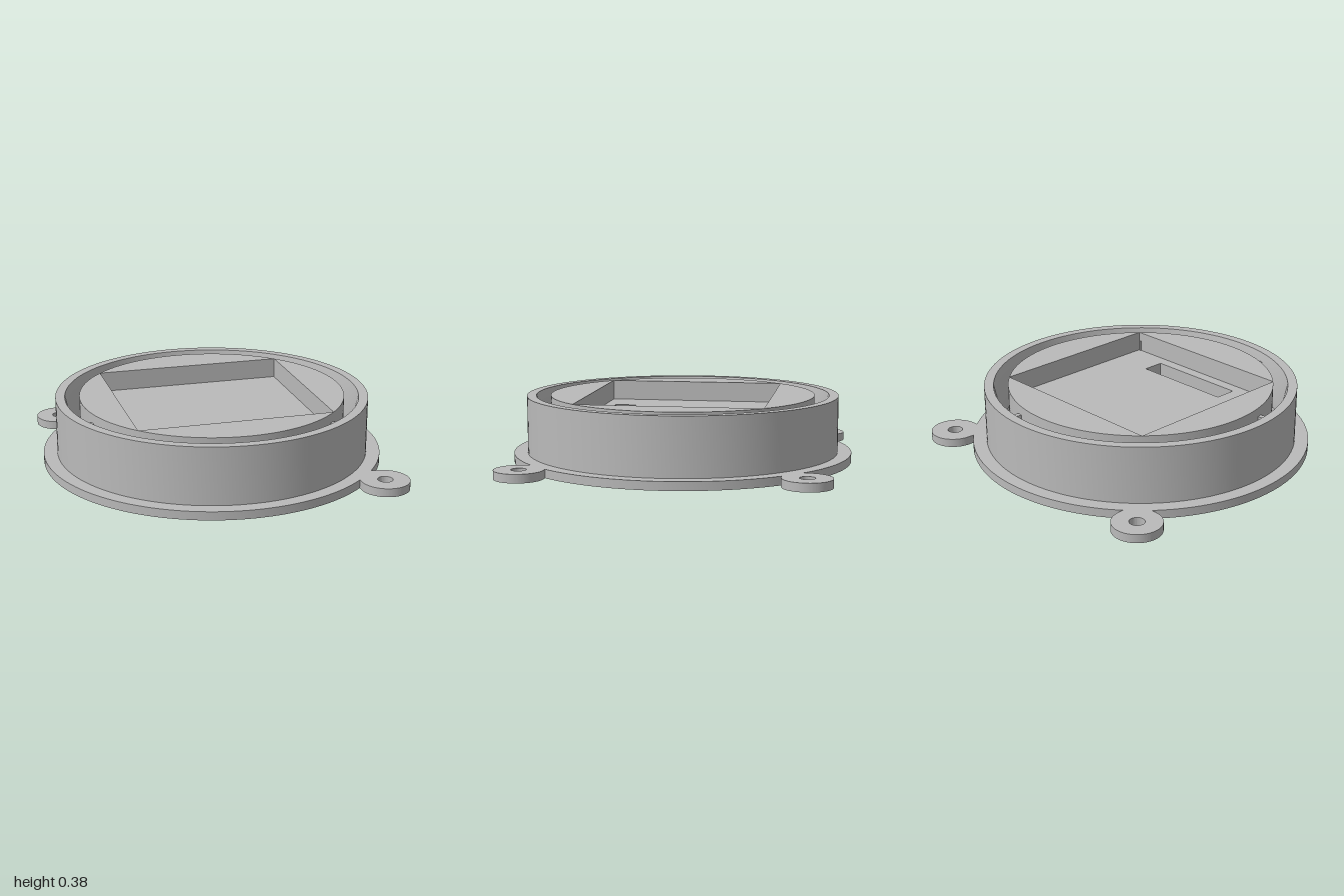
import * as THREE from 'three';
import { toCreasedNormals } from 'three/addons/utils/BufferGeometryUtils.js';

const grey = new THREE.MeshStandardMaterial({ color: 0xbababa, side: THREE.DoubleSide });
grey.name = 'plain grey';
const SEG = 128;
const H = 0.385, FLOOR = 0.265, PLUG_R = 0.78, FOOT_R = 0.66;

export function createModel() {
  const model = new THREE.Group();
  const add = (name, geometry, parent = model) => {
    const mesh = new THREE.Mesh(toCreasedNormals(geometry, 0.5), grey);
    mesh.name = name;
    parent.add(mesh);
    return mesh;
  };
  const lathe = (pts) => new THREE.LatheGeometry(pts.map(([r, y]) => new THREE.Vector2(r, y)), SEG);
  // Plan shapes use y = -z; they are laid flat and raised to height y
  const flat = (geometry, y) => geometry.rotateX(-Math.PI / 2).translate(0, y, 0);
  const slab = (shape, y, depth) =>
    flat(new THREE.ExtrudeGeometry(shape, { depth, bevelEnabled: false, curveSegments: 48 }), y);

  // Outer ring: flange, upright wall, tapered mouth and lower counterbore
  add('outerRing', lathe([
    [0.865, 0], [1, 0], [1, 0.05], [0.92, 0.05], [0.92, H],
    [0.865, H], [0.83, 0.2], [0.83, 0.12], [0.865, 0.12], [0.865, 0],
  ]));

  // Three screw lugs, each a round eye with a square neck into the flange
  const lug = new THREE.Shape();
  lug.absarc(0.79, 0.79, 0.14, -Math.PI / 2, Math.PI, false);
  lug.lineTo(0.65, 0.65);
  lug.closePath();
  lug.holes.push(new THREE.Path().absarc(0.79, 0.79, 0.043, 0, Math.PI * 2, true));
  for (const turn of [-1, 0, 1]) {
    add('screwLug', slab(lug, 0, 0.05)).rotation.y = turn * Math.PI / 2;
  }

  // Central plug: narrow foot flaring to a wide head
  const plug = new THREE.Group();
  plug.name = 'plug';
  model.add(plug);
  add('plugSide', lathe([[FOOT_R, 0], [FOOT_R, 0.12], [PLUG_R, 0.2], [PLUG_R, FLOOR]]), plug);

  // Underside and pocket floor, both pierced by the slot
  const X0 = -0.31, X1 = 0.305, Z0 = 0.34, Z1 = 0.47;
  const disc = (r) => {
    const s = new THREE.Shape().absarc(0, 0, r, 0, Math.PI * 2, false);
    s.holes.push(new THREE.Path([[X0, -Z0], [X1, -Z0], [X1, -Z1], [X0, -Z1], [X0, -Z0]]
      .map(([x, y]) => new THREE.Vector2(x, y))));
    return new THREE.ShapeGeometry(s, SEG);
  };
  add('plugUnderside', flat(disc(FOOT_R).scale(1, -1, 1).rotateX(Math.PI), 0), plug);
  add('pocketFloor', flat(disc(PLUG_R), FLOOR), plug);

  // Slot walls, facing into the slot
  const cx = (X0 + X1) / 2, cz = (Z0 + Z1) / 2;
  [[cx, Z0, X1 - X0, 0], [cx, Z1, X1 - X0, Math.PI],
    [X0, cz, Z1 - Z0, Math.PI / 2], [X1, cz, Z1 - Z0, -Math.PI / 2]].forEach(([x, z, w, turn]) => {
    add('slotWall', new THREE.PlaneGeometry(w, FLOOR).rotateY(turn).translate(x, FLOOR / 2, z), plug);
  });

  // Four circular segments leave the square pocket between them
  const a = Math.atan2(0.535, 0.565);
  const corners = [-a, a, Math.PI - a, Math.PI + a, Math.PI * 2 - a];
  for (let i = 0; i < 4; i++) {
    const s = new THREE.Shape().absarc(0, 0, PLUG_R, corners[i], corners[i + 1], false);
    s.closePath();
    add('pocketRim', slab(s, FLOOR, H - FLOOR), plug);
  }

  // Six thin ribs bridge the gap between plug and ring
  for (let i = 0; i < 6; i++) {
    const rib = new THREE.BoxGeometry(0.09, 0.13, 0.032).translate(0.81, 0.265, 0);
    add('rib', rib).rotation.y = -Math.PI / 4 + i * Math.PI / 3;
  }
  return model;
}
